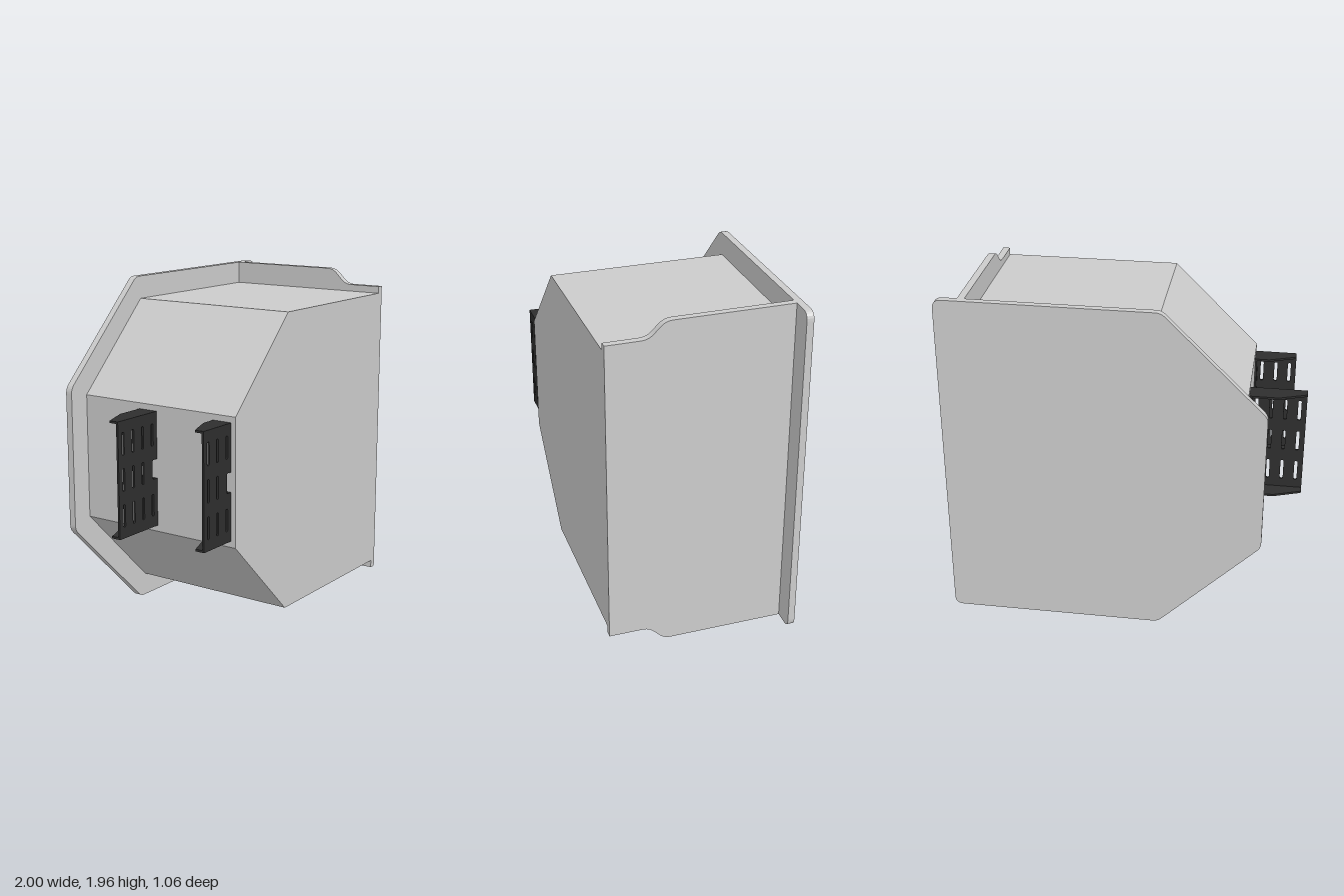
import * as THREE from 'three';

const grey = new THREE.MeshStandardMaterial({ color: 0xcccccc, flatShading: true });
const dark = new THREE.MeshStandardMaterial({ color: 0x2e2e2e, flatShading: true });

// Closed outline from [x, y, cornerRadius] points
function outline(points, Type = THREE.Shape) {
  const path = new Type();
  const n = points.length;
  points.forEach(([x, y, r = 0], i) => {
    const p = new THREE.Vector2(x, y);
    const toward = ([a, b]) => new THREE.Vector2(a, b).sub(p).setLength(r).add(p);
    const a = toward(points[(i + n - 1) % n]);
    const b = toward(points[(i + 1) % n]);
    if (i === 0) path.moveTo(a.x, a.y);
    else path.lineTo(a.x, a.y);
    if (r) path.quadraticCurveTo(x, y, b.x, b.y);
  });
  path.closePath();
  return path;
}

function extrude(name, shape, depth, material) {
  const geometry = new THREE.ExtrudeGeometry(shape, { depth, bevelEnabled: false, curveSegments: 6 });
  const mesh = new THREE.Mesh(geometry, material);
  mesh.name = name;
  return mesh;
}

// Slotted sheet-metal bracket: front face at z, reaching from the body out to xOut
function createBracket(name, xOut, xBend, z, columns) {
  const group = new THREE.Group();
  group.name = name;
  const xIn = -0.675, y0 = 0.66, y1 = 1.305, t = 0.012, back = 0.117;

  // Face with rows of slots and a notch on the body side
  const face = outline([
    [xOut, y0], [xIn, y0], [xIn, 0.93], [-0.715, 0.93, 0.012],
    [-0.715, 1.04, 0.012], [xIn, 1.04], [xIn, y1], [xOut, y1],
  ]);
  columns.forEach((x, i) => {
    for (const y of [0.785, 0.983, 1.18]) {
      if (i === 0 && y === 0.983) continue; // the notch takes this place
      const w = 0.009, h = 0.062;
      face.holes.push(outline([
        [x - w, y - h, 0.008], [x - w, y + h, 0.008], [x + w, y + h, 0.008], [x + w, y - h, 0.008],
      ], THREE.Path));
    }
  });
  const plate = extrude('bracketFace', face, t, dark);
  plate.position.z = z - t;
  group.add(plate);

  // Tapered top and bottom flanges
  for (const y of [y0, y1 - t]) {
    const flange = extrude('bracketFlange', outline([
      [xOut, 0], [xIn, 0], [xIn, back], [xBend, back], [xOut, 0.055],
    ]), t, dark);
    flange.rotation.x = -Math.PI / 2;
    flange.position.set(0, y, z);
    group.add(flange);
  }

  // Two mounting tabs lying on the body
  for (const [a, b] of [[y0, 0.93], [1.04, y1]]) {
    const tab = new THREE.Mesh(new THREE.BoxGeometry(t, b - a, back), dark);
    tab.name = 'mountingTab';
    tab.position.set(xIn - t / 2, (a + b) / 2, z - back / 2);
    group.add(tab);
  }
  return group;
}

export function createModel() {
  const model = new THREE.Group();

  // Back plate with chamfered and rounded corners
  const backPlate = extrude('backPlate', outline([
    [-0.8, 0.57, 0.03], [-0.22, 0, 0.03], [1, 0, 0.05],
    [1, 1.96, 0.05], [-0.22, 1.96, 0.03], [-0.8, 1.39, 0.03],
  ]), 0.04, grey);
  backPlate.position.z = -0.53;
  model.add(backPlate);

  // Main housing
  const housing = extrude('housing', outline([
    [-0.675, 0.625], [-0.18, 0.135], [0.832, 0.135],
    [0.832, 1.83], [-0.18, 1.83], [-0.675, 1.338],
  ]), 1.02, grey);
  housing.position.z = -0.49;
  model.add(housing);

  // Side plate, narrower toward the front
  const sidePlate = extrude('sidePlate', outline([
    [-0.53, 0.09], [-0.3, 0.09, 0.04], [-0.21, 0, 0.04], [0.49, 0],
    [0.49, 1.96], [-0.21, 1.96, 0.04], [-0.3, 1.87, 0.04], [-0.53, 1.87],
  ]), 0.04, grey);
  sidePlate.rotation.y = Math.PI / 2;
  sidePlate.position.x = 0.832;
  model.add(sidePlate);

  // Brackets
  const columns = [-0.715, -0.798, -0.879, -0.96];
  model.add(createBracket('rearBracket', -1, -0.84, 0.008, columns));
  model.add(createBracket('frontBracket', -0.918, -0.76, 0.502, columns.slice(0, 3)));
  return model;
}
